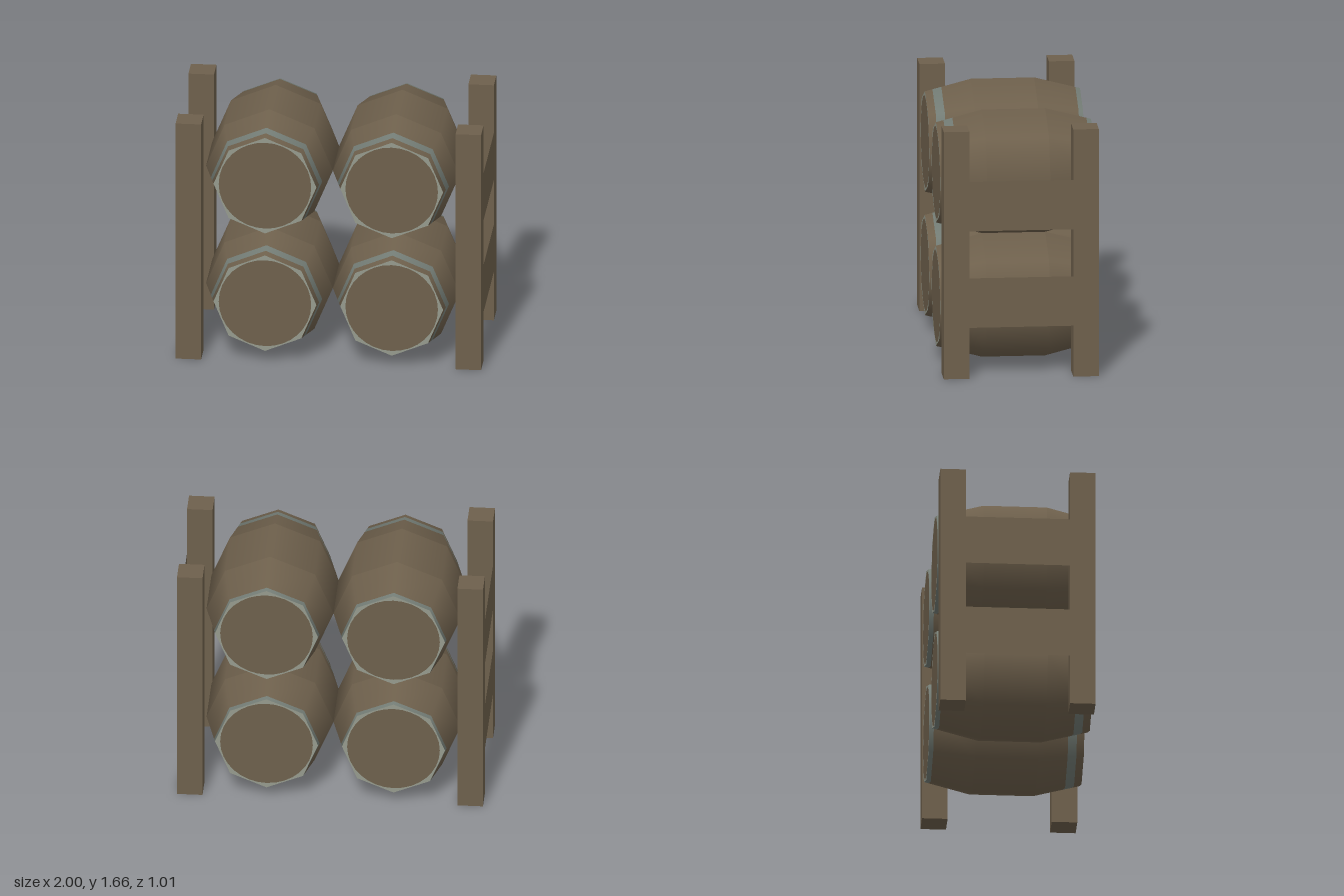
import * as THREE from 'three';

const R_MID = 0.415, R_END = 0.337, HALF = 0.507, BELLY = 0.207, H = 1.66;

function material(name, color, side = THREE.FrontSide) {
  const m = new THREE.MeshStandardMaterial({ color, side });
  m.name = name;
  return m;
}

function add(parent, name, geometry, mat, x = 0, y = 0, z = 0) {
  const mesh = new THREE.Mesh(geometry, mat);
  mesh.name = name;
  mesh.position.set(x, y, z);
  parent.add(mesh);
  return mesh;
}

// barrel radius along its length
function radiusAt(z) {
  const t = Math.max(0, (Math.abs(z) - BELLY) / (HALF - BELLY));
  return R_MID + (R_END - R_MID) * t;
}

export function createModel() {
  const root = new THREE.Group();
  root.name = 'barrelRack';
  const wood = material('wood', 0x6e604c, THREE.DoubleSide);
  const hoopMetal = material('hoopMetal', 0x737c75);
  const rimMetal = material('rimMetal', 0x959a8d);

  // four corner posts
  const postWidth = 0.167;
  const postGeo = new THREE.BoxGeometry(postWidth, H, postWidth);
  for (const sx of [-1, 1]) for (const sz of [-1, 1]) {
    add(root, 'post', postGeo, wood, sx * (1 - postWidth / 2), H / 2, sz * (HALF - postWidth / 2));
  }

  // flat side rails flush with the outer faces of the posts
  const railGeo = new THREE.PlaneGeometry(2 * (HALF - postWidth), 0.332);
  for (const sx of [-1, 1]) for (const y of [0.508, 1.156]) {
    const rail = add(root, 'sideRail', railGeo, wood, sx, y, 0);
    rail.rotation.y = sx * Math.PI / 2;
  }

  // barrel staves and hoops, from back to front
  const sections = [
    ['backHoop', -HALF, -0.477, hoopMetal],
    ['backStaves', -0.477, -BELLY, wood],
    ['bellyStaves', -BELLY, BELLY, wood],
    ['frontStaves', BELLY, 0.4, wood],
    ['frontHoop', 0.4, 0.458, hoopMetal],
    ['frontEdgeStaves', 0.458, HALF, wood],
  ].map(([name, z0, z1, mat]) => {
    const geo = new THREE.CylinderGeometry(radiusAt(z1), radiusAt(z0), z1 - z0, 8, 1, true);
    geo.rotateX(Math.PI / 2).translate(0, 0, (z0 + z1) / 2);
    return { name, geo, mat };
  });

  // octagonal rim around a round lid
  const lidRadius = 0.303;
  const rimShape = new THREE.Shape();
  for (let i = 0; i < 8; i++) {
    const a = i * Math.PI / 4, x = R_END * Math.cos(a), y = R_END * Math.sin(a);
    if (i) rimShape.lineTo(x, y); else rimShape.moveTo(x, y);
  }
  rimShape.closePath();
  rimShape.holes.push(new THREE.Path().absarc(0, 0, lidRadius, 0, Math.PI * 2, true));
  const rimGeo = new THREE.ShapeGeometry(rimShape, 16);
  const lidGeo = new THREE.CircleGeometry(lidRadius, 32);

  // two rows of two barrels
  for (const sx of [-1, 1]) for (const y of [R_MID, H - R_MID]) {
    const barrel = new THREE.Group();
    barrel.name = 'barrel';
    barrel.position.set(sx * R_MID, y, 0);
    for (const s of sections) add(barrel, s.name, s.geo, s.mat);
    for (const [end, sz] of [['front', 1], ['back', -1]]) {
      const turn = sz > 0 ? 0 : Math.PI;
      add(barrel, end + 'Rim', rimGeo, rimMetal, 0, 0, sz * HALF).rotation.y = turn;
      add(barrel, end + 'Lid', lidGeo, wood, 0, 0, sz * HALF).rotation.y = turn;
    }
    root.add(barrel);
  }
  return root;
}
